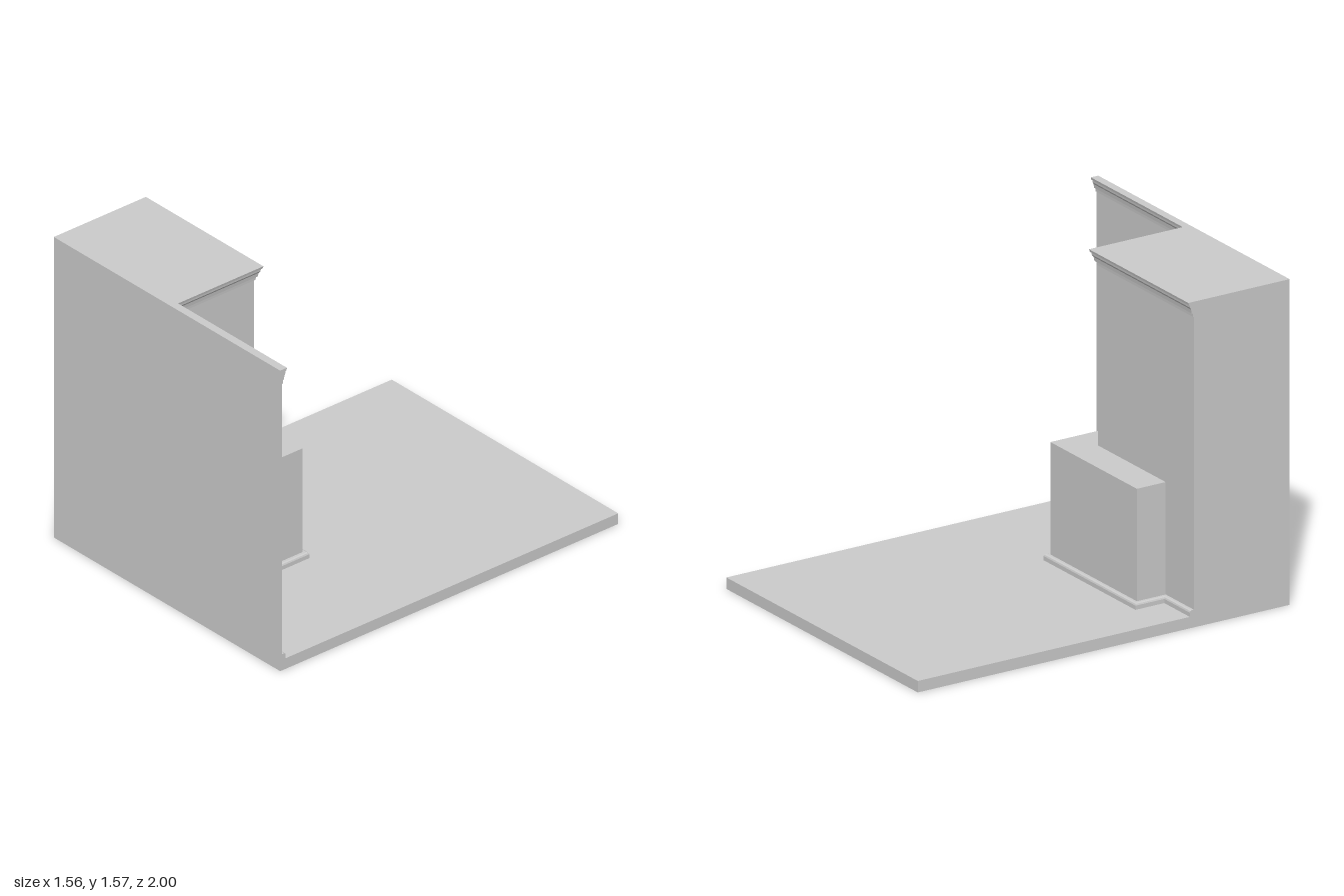
import * as THREE from 'three';

const material = new THREE.MeshStandardMaterial({ color: 0xcccccc, flatShading: true });

// Box given by its min and max on each axis
function block(name, [x0, x1], [y0, y1], [z0, z1]) {
  const mesh = new THREE.Mesh(new THREE.BoxGeometry(x1 - x0, y1 - y0, z1 - z0), material);
  mesh.position.set((x0 + x1) / 2, (y0 + y1) / 2, (z0 + z1) / 2);
  mesh.name = name;
  return mesh;
}

// Sweeps a closed [outward, y] profile along a right-angled [x, z] path with mitred corners
function moulding(name, profile, path) {
  const normals = path.slice(1).map(([x, z], i) => {
    const dx = x - path[i][0], dz = z - path[i][1], len = Math.hypot(dx, dz);
    return [dz / len, -dx / len];
  });
  const last = path.length - 1;
  const rings = path.map(([x, z], i) => {
    const a = normals[Math.max(i - 1, 0)], b = normals[Math.min(i, last - 1)];
    const k = 1 + a[0] * b[0] + a[1] * b[1];
    const mx = (a[0] + b[0]) / k, mz = (a[1] + b[1]) / k;
    return profile.map(([d, y]) => [x + mx * d, y, z + mz * d]);
  });
  const positions = [];
  const tri = (...corners) => corners.forEach((c) => positions.push(...c));
  const n = profile.length;
  for (let i = 0; i < last; i++) {
    for (let j = 0; j < n; j++) {
      const k = (j + 1) % n;
      const a = rings[i][j], b = rings[i + 1][j], c = rings[i + 1][k], d = rings[i][k];
      tri(a, c, b);
      tri(a, d, c);
    }
  }
  // End caps
  const contour = profile.map(([d, y]) => new THREE.Vector2(d, y));
  for (const [a, b, c] of THREE.ShapeUtils.triangulateShape(contour, [])) {
    tri(rings[last][a], rings[last][b], rings[last][c]);
    tri(rings[0][a], rings[0][c], rings[0][b]);
  }
  const geometry = new THREE.BufferGeometry();
  geometry.setAttribute('position', new THREE.Float32BufferAttribute(positions, 3));
  geometry.computeVertexNormals();
  const mesh = new THREE.Mesh(geometry, material);
  mesh.name = name;
  return mesh;
}

export function createModel() {
  const group = new THREE.Group();
  group.name = 'roomCorner';
  const W = 0.78, floorTop = 0.055, top = 1.565;
  const wallZ = 0.99, breastZ = 0.485;

  // Main masses
  group.add(
    block('floor', [-W, W], [0, floorTop], [-1, 1]),
    block('thinWall', [0, W], [floorTop, top], [wallZ, 1]),
    block('deepWall', [-W, 0], [floorTop, top], [breastZ, 1]),
    block('lowBlock', [-0.55, 0.155], [floorTop, 0.625], [0.33, 0.875])
  );

  // Stepped crown along the top of both walls
  const crown = [
    [0, 1.49], [0.005, 1.493], [0.006, 1.508], [0.012, 1.511], [0.015, 1.53],
    [0.021, 1.54], [0.022, 1.55], [0.027, 1.553], [0.03, 1.565], [0, top]
  ];
  group.add(moulding('crownMoulding', crown,
    [[-W, breastZ], [0, breastZ], [0, wallZ], [W, wallZ]]));

  // Skirting around the foot of the walls and the low block
  const skirting = [
    [0, floorTop], [0.022, floorTop], [0.022, 0.075], [0.019, 0.082], [0.012, 0.085], [0, 0.085]
  ];
  group.add(
    moulding('blockSkirting', skirting,
      [[-W, breastZ], [-0.55, breastZ], [-0.55, 0.33], [0.155, 0.33], [0.155, 0.875]]),
    moulding('wallSkirting', skirting, [[0, wallZ], [W, wallZ]])
  );
  return group;
}
